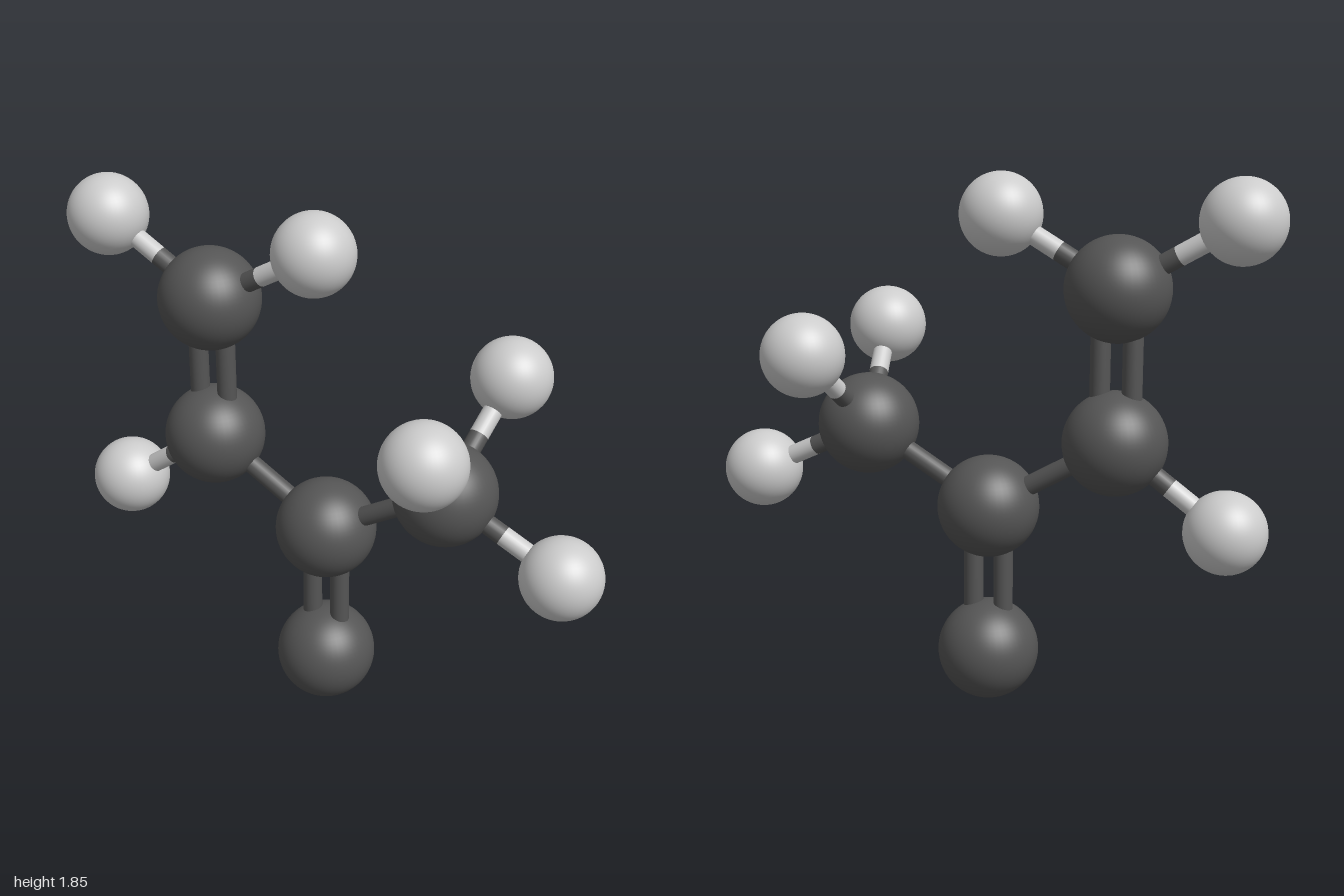
import * as THREE from 'three';

const dark = new THREE.MeshStandardMaterial({ color: 0x555555 });
const light = new THREE.MeshStandardMaterial({ color: 0xcccccc });
const BOND_RADIUS = 0.034;
const DOUBLE_OFFSET = 0.055;

// Large dark atoms and small light atoms: [x, y, z]
const LARGE = {
  endCarbon: [-0.46, 1.475, 0],
  middleCarbon: [-0.46, 0.96, 0],
  centreCarbon: [-0.013, 0.7, 0],
  bottomAtom: [-0.013, 0.177, 0],
  sideCarbon: [0.435, 0.96, 0],
};
const SMALL = {
  topRightHydrogen: [-0.86, 1.705, 0],
  topLeftHydrogen: [-0.057, 1.705, 0],
  lowerRightHydrogen: [-0.84, 0.69, 0],
  outerHydrogen: [0.858, 0.76, 0],
  frontHydrogen: [0.51, 1.255, 0.346],
  backHydrogen: [0.51, 1.255, -0.346],
};

// Bonds: [from, to, order]
const BONDS = [
  ['endCarbon', 'middleCarbon', 2],
  ['middleCarbon', 'centreCarbon', 1],
  ['centreCarbon', 'bottomAtom', 2],
  ['centreCarbon', 'sideCarbon', 1],
  ['endCarbon', 'topRightHydrogen', 1],
  ['endCarbon', 'topLeftHydrogen', 1],
  ['middleCarbon', 'lowerRightHydrogen', 1],
  ['sideCarbon', 'outerHydrogen', 1],
  ['sideCarbon', 'frontHydrogen', 1],
  ['sideCarbon', 'backHydrogen', 1],
];

// Round rod between two points
function rod(a, b, material, name) {
  const dir = b.clone().sub(a);
  const geometry = new THREE.CylinderGeometry(BOND_RADIUS, BOND_RADIUS, dir.length(), 24);
  const mesh = new THREE.Mesh(geometry, material);
  mesh.position.copy(a).add(b).multiplyScalar(0.5);
  mesh.quaternion.setFromUnitVectors(new THREE.Vector3(0, 1, 0), dir.normalize());
  mesh.name = name;
  return mesh;
}

function addAtoms(group, atoms, radius, material) {
  const geometry = new THREE.SphereGeometry(radius, 48, 32);
  for (const [name, position] of Object.entries(atoms)) {
    const mesh = new THREE.Mesh(geometry, material);
    mesh.position.set(...position);
    mesh.name = name;
    group.add(mesh);
  }
}

export function createModel() {
  const model = new THREE.Group();
  model.name = 'molecule';
  addAtoms(model, LARGE, 0.177, dark);
  addAtoms(model, SMALL, 0.14, light);

  for (const [from, to, order] of BONDS) {
    const bond = new THREE.Group();
    bond.name = order === 2 ? 'doubleBond' : 'singleBond';
    const a = new THREE.Vector3(...LARGE[from]);
    const b = new THREE.Vector3(...(LARGE[to] || SMALL[to]));
    const mid = a.clone().lerp(b, 0.5);
    // Each rod is split at its middle and takes the colour of its nearer atom
    for (const side of order === 2 ? [-1, 1] : [0]) {
      const shift = new THREE.Vector3(side * DOUBLE_OFFSET, 0, 0);
      const [p, m, q] = [a, mid, b].map((v) => v.clone().add(shift));
      bond.add(rod(p, m, dark, 'innerBondHalf'));
      bond.add(rod(m, q, LARGE[to] ? dark : light, 'outerBondHalf'));
    }
    model.add(bond);
  }
  return model;
}
